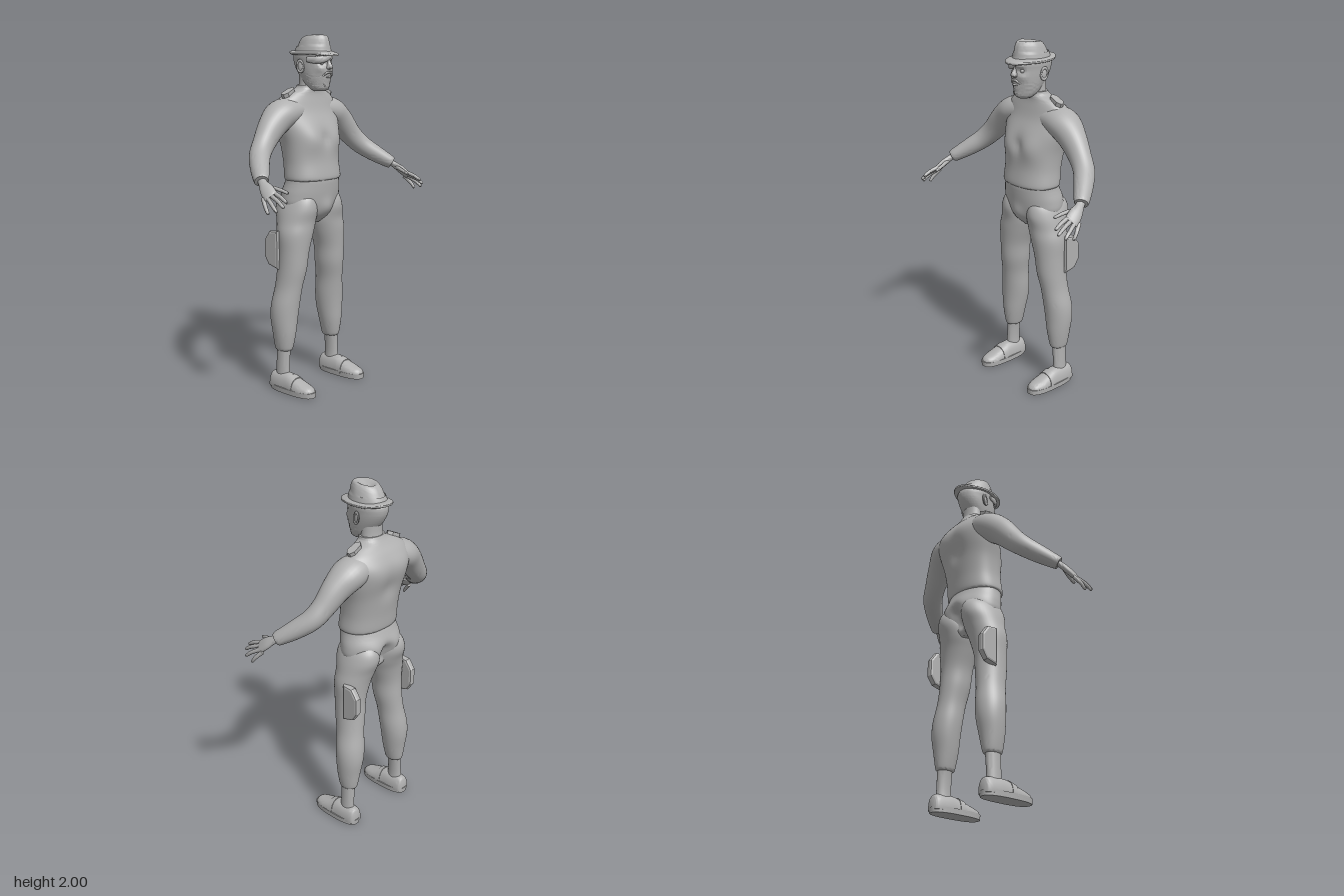
import * as THREE from 'three';
import { toCreasedNormals } from 'three/addons/utils/BufferGeometryUtils.js';

const clay = new THREE.MeshStandardMaterial({ color: 0xb0b0b0 });
clay.name = 'plain grey';

// Smooth in-between rows through a few cross-sections
function resample(rows, sub) {
  const out = [], n = rows.length;
  for (let i = 0; i < n - 1; i++) {
    const [a, b, c, d] = [rows[Math.max(i - 1, 0)], rows[i], rows[i + 1], rows[Math.min(i + 2, n - 1)]];
    for (let s = 0; s < sub; s++) {
      const t = s / sub;
      out.push(b.map((v, k) => v + 0.5 * t * (c[k] - a[k] + t * (2 * a[k] - 5 * v + 4 * c[k] - d[k] + t * (3 * (v - c[k]) + d[k] - a[k])))));
    }
  }
  out.push(rows[n - 1]);
  return out;
}

// Closed loft through rows [x, y, z, ru, rv]. With a hint the rings follow the path, otherwise they lie flat.
function loft(rows, { n = 32, sub = 5, hint = null, pow = 1, deform = null } = {}) {
  const R = resample(rows, sub), pos = [], idx = [];
  const at = (r) => new THREE.Vector3(r[0], r[1], r[2]);
  const put = (p) => { if (deform) deform(p); pos.push(p.x, p.y, p.z); };
  R.forEach((r, i) => {
    const t = new THREE.Vector3(0, 1, 0), u = new THREE.Vector3(1, 0, 0);
    if (hint) {
      t.copy(at(R[Math.min(i + 1, R.length - 1)])).sub(at(R[Math.max(i - 1, 0)])).normalize();
      u.set(...hint).addScaledVector(t, -t.dot(u.set(...hint))).normalize();
    }
    const v = new THREE.Vector3().crossVectors(t, u);
    for (let j = 0; j < n; j++) {
      const a = j / n * Math.PI * 2, c = Math.cos(a), s = Math.sin(a);
      put(at(r).addScaledVector(u, r[3] * Math.sign(c) * Math.abs(c) ** pow)
        .addScaledVector(v, r[4] * Math.sign(s) * Math.abs(s) ** pow));
    }
  });
  const last = (R.length - 1) * n, c0 = R.length * n;
  put(at(R[0])); put(at(R[R.length - 1]));
  for (let j = 0; j < n; j++) {
    const k = (j + 1) % n;
    for (let i = 0; i < last; i += n) idx.push(i + j, i + k, i + n + j, i + k, i + n + k, i + n + j);
    idx.push(c0, k, j, c0 + 1, last + j, last + k);
  }
  const g = new THREE.BufferGeometry();
  g.setAttribute('position', new THREE.Float32BufferAttribute(pos, 3));
  g.setIndex(idx);
  return toCreasedNormals(g, 0.9);
}

// Soft symmetric bulges and dents: [x, y, z, radius, dx, dy, dz]
const sculpt = (list) => (p) => {
  for (const [x, y, z, r, dx, dy, dz] of list) {
    const w = Math.exp(-((Math.abs(p.x) - x) ** 2 + (p.y - y) ** 2 + (p.z - z) ** 2) / (r * r));
    p.x += (p.x < 0 ? -dx : dx) * w; p.y += dy * w; p.z += dz * w;
  }
};

function mirrored(geo) {
  const g = geo.index ? geo.toNonIndexed() : geo.clone();
  for (const name of ['position', 'normal']) {
    const a = g.attributes[name];
    for (let i = 0; i < a.count; i += 3) {
      const q = [0, 2, 1].map((k) => [-a.getX(i + k), a.getY(i + k), a.getZ(i + k)]);
      q.forEach((v, k) => a.setXYZ(i + k, ...v));
    }
  }
  return g;
}

export function createModel() {
  const model = new THREE.Group();
  model.name = 'man in hat';
  const add = (name, geo) => {
    const m = new THREE.Mesh(geo, clay);
    m.name = name;
    model.add(m);
  };
  const pair = (name, geo) => { add(name + 'Left', geo); add(name + 'Right', mirrored(geo)); };

  // Sweater
  add('sweater', loft([
    [0, 1.2, -0.09, 0.17, 0.117], [0, 1.215, -0.09, 0.181, 0.127], [0, 1.3, -0.1, 0.177, 0.126],
    [0, 1.4, -0.112, 0.187, 0.13], [0, 1.5, -0.13, 0.212, 0.128], [0, 1.58, -0.147, 0.222, 0.112],
    [0, 1.64, -0.142, 0.205, 0.09], [0, 1.68, -0.13, 0.15, 0.07], [0, 1.705, -0.12, 0.088, 0.062],
    [0, 1.725, -0.115, 0.076, 0.056]], {
    n: 64, pow: 0.9,
    deform: sculpt([[0.09, 1.43, 0, 0.07, 0, 0, 0.018], [0, 1.43, 0.01, 0.035, 0, 0, -0.012],
      [0, 1.45, -0.26, 0.06, 0, 0, 0.015], [0.1, 1.55, -0.25, 0.08, 0, 0, -0.012]]),
  }));
  pair('sleeve', loft([
    [0.1, 1.585, -0.14, 0.09, 0.075], [0.2, 1.565, -0.14, 0.098, 0.084], [0.285, 1.505, -0.128, 0.076, 0.077],
    [0.36, 1.425, -0.112, 0.06, 0.064], [0.42, 1.365, -0.085, 0.058, 0.056], [0.48, 1.31, -0.025, 0.052, 0.049],
    [0.535, 1.262, 0.04, 0.042, 0.038], [0.546, 1.252, 0.053, 0.036, 0.033]], { hint: [0, 0, 1] }));

  // Hands
  const across = [0.042, -0.035, -0.045];
  pair('palm', loft([[0.53, 1.268, 0.03, 0.024, 0.018], [0.55, 1.243, 0.068, 0.024, 0.017],
    [0.563, 1.218, 0.105, 0.036, 0.018], [0.574, 1.19, 0.142, 0.039, 0.015],
    [0.578, 1.182, 0.155, 0.034, 0.01]], { hint: across, n: 20 }));
  const fingers = {
    thumb: [[0.55, 1.23, 0.085], [0.522, 1.218, 0.145], [0.505, 1.2, 0.205]],
    indexFinger: [[0.553, 1.207, 0.14], [0.562, 1.186, 0.207], [0.565, 1.163, 0.25]],
    middleFinger: [[0.57, 1.192, 0.14], [0.583, 1.168, 0.207], [0.588, 1.14, 0.252]],
    ringFinger: [[0.584, 1.181, 0.13], [0.604, 1.148, 0.188], [0.612, 1.118, 0.225]],
    littleFinger: [[0.593, 1.173, 0.112], [0.612, 1.135, 0.148], [0.618, 1.103, 0.172]],
  };
  for (const [name, [a, b, c]] of Object.entries(fingers)) {
    const mid = c.map((v, k) => v * 0.9 + b[k] * 0.1);
    pair(name, loft([[...a, 0.012, 0.012], [...b, 0.0105, 0.0105], [...mid, 0.008, 0.008], [...c, 0.003, 0.003]],
      { hint: across, n: 12, sub: 4 }));
  }

  // Shoulder tabs
  const tab = new THREE.Shape([[-0.05, 0], [-0.03, 0.022], [0.025, 0.025], [0.047, 0.01], [0.047, -0.01],
    [0.025, -0.025], [-0.03, -0.022]].map(([x, y]) => new THREE.Vector2(x, y)));
  pair('shoulderTab', new THREE.ExtrudeGeometry(tab, { depth: 0.025, bevelEnabled: false })
    .rotateX(-Math.PI / 2).rotateZ(-0.42).translate(0.145, 1.672, -0.132));

  // Trousers
  add('trouserSeat', loft([
    [0, 0.955, -0.11, 0.04, 0.06], [0, 1, -0.108, 0.13, 0.1], [0, 1.06, -0.108, 0.19, 0.122],
    [0, 1.12, -0.108, 0.194, 0.135], [0, 1.18, -0.095, 0.181, 0.128], [0, 1.207, -0.09, 0.177, 0.123]], {
    n: 64,
    deform: sculpt([[0, 1.04, 0.01, 0.05, 0, 0, 0.018], [0, 1.08, -0.23, 0.04, 0, 0, 0.035],
      [0, 1.02, -0.21, 0.04, 0, 0, 0.04], [0.085, 1.07, -0.23, 0.06, 0, 0, -0.015]]),
  }));
  pair('trouserLeg', loft([
    [0.2, 0.232, -0.13, 0.038, 0.048], [0.2, 0.247, -0.13, 0.046, 0.057], [0.197, 0.33, -0.13, 0.063, 0.07],
    [0.193, 0.42, -0.134, 0.076, 0.08], [0.186, 0.5, -0.13, 0.08, 0.083], [0.172, 0.6, -0.117, 0.074, 0.082],
    [0.158, 0.7, -0.105, 0.08, 0.088], [0.15, 0.8, -0.1, 0.086, 0.091], [0.134, 0.9, -0.102, 0.104, 0.102],
    [0.115, 0.97, -0.11, 0.108, 0.113], [0.106, 1.04, -0.116, 0.1, 0.132], [0.1, 1.1, -0.117, 0.082, 0.122],
    [0.09, 1.15, -0.11, 0.05, 0.08]], { n: 40 }));

  // Thigh pouches
  const pouch = new THREE.Shape([[0.145, 0.91], [0.19, 0.905], [0.222, 0.86], [0.222, 0.775], [0.195, 0.735], [0.145, 0.72]]
    .map(([x, y]) => new THREE.Vector2(x, y)));
  pair('thighPouch', new THREE.ExtrudeGeometry(pouch, { depth: 0.016, bevelSize: 0.013, bevelThickness: 0.013, bevelSegments: 2 })
    .rotateY(Math.PI / 2).translate(0.221, 0, 0));

  // Ankles and loafers
  pair('ankle', loft([[0.21, 0.04, -0.13, 0.034, 0.048], [0.21, 0.12, -0.13, 0.03, 0.044],
    [0.206, 0.2, -0.13, 0.031, 0.044], [0.2, 0.27, -0.13, 0.036, 0.046]], { n: 24 }));
  pair('sole', loft([[0.212, 0, -0.05, 0.056, 0.158], [0.212, 0.03, -0.05, 0.058, 0.16]], { n: 40, sub: 1, pow: 0.75 }));
  const flat = (p) => { p.y = Math.max(p.y, 0.015); };
  pair('shoeUpper', loft([
    [0.212, 0.02, -0.205, 0.03, 0.055], [0.212, 0.02, -0.19, 0.044, 0.08], [0.212, 0.02, -0.13, 0.051, 0.086],
    [0.212, 0.02, -0.07, 0.052, 0.085], [0.212, 0.02, -0.02, 0.055, 0.068], [0.212, 0.02, 0.04, 0.053, 0.048],
    [0.212, 0.02, 0.085, 0.038, 0.034], [0.212, 0.02, 0.103, 0.016, 0.018]], { hint: [1, 0, 0], pow: 0.85, deform: flat }));
  pair('shoeStrap', loft([[0.212, 0.02, -0.05, 0.056, 0.084], [0.212, 0.02, -0.015, 0.058, 0.071]],
    { hint: [1, 0, 0], pow: 0.85, sub: 2, deform: flat }));

  // Neck and head, with a rough beard around the jaw
  add('neck', loft([[0, 1.68, -0.118, 0.07, 0.055], [0, 1.74, -0.112, 0.064, 0.054], [0, 1.81, -0.105, 0.066, 0.062]]));
  const face = sculpt([
    [0.034, 1.846, 0.02, 0.02, 0, 0, -0.016], [0.032, 1.872, 0.025, 0.018, 0, 0, 0.008],
    [0.045, 1.815, 0.01, 0.025, 0.004, 0, 0.007], [0, 1.76, 0.025, 0.025, 0, 0, 0.008],
    [0, 1.715, 0.015, 0.03, 0, 0, 0.01], [0, 1.778, 0.03, 0.009, 0, 0, -0.008]]);
  add('head', loft([
    [0, 1.692, -0.035, 0.03, 0.03], [0, 1.705, -0.04, 0.05, 0.05], [0, 1.73, -0.055, 0.065, 0.073],
    [0, 1.77, -0.066, 0.076, 0.093], [0, 1.81, -0.078, 0.083, 0.109], [0, 1.85, -0.086, 0.087, 0.119],
    [0, 1.89, -0.086, 0.089, 0.119], [0, 1.93, -0.08, 0.07, 0.09]], {
    n: 80, sub: 7,
    deform: (p) => {
      face(p);
      if (p.y < 1.785 && p.z > -0.07) {
        const k = 1 + 0.022 * Math.sin(p.x * 410 + p.y * 190) * Math.sin(p.y * 520 + p.z * 230);
        p.x *= k; p.z = -0.06 + (p.z + 0.06) * k;
      }
    },
  }));
  add('nose', loft([[0, 1.81, 0.027, 0.009, 0.012], [0, 1.819, 0.033, 0.017, 0.022], [0, 1.83, 0.034, 0.014, 0.023],
    [0, 1.85, 0.03, 0.009, 0.014], [0, 1.872, 0.024, 0.007, 0.01]], { n: 20 }));
  add('moustache', loft([[-0.036, 1.775, 0.02, 0.004, 0.004], [-0.016, 1.793, 0.034, 0.007, 0.008],
    [0, 1.796, 0.037, 0.006, 0.007], [0.016, 1.793, 0.034, 0.007, 0.008], [0.036, 1.775, 0.02, 0.004, 0.004]],
    { hint: [0, 1, 0], n: 12 }));
  add('lowerLip', new THREE.SphereGeometry(1, 16, 10).scale(0.02, 0.006, 0.008).translate(0, 1.769, 0.032));
  pair('eye', new THREE.SphereGeometry(0.012, 16, 12).translate(0.034, 1.846, 0.008));
  pair('ear', new THREE.SphereGeometry(1, 16, 12).scale(0.009, 0.034, 0.02).rotateY(-0.3).rotateX(-0.15)
    .translate(0.09, 1.826, -0.092));
  pair('earRim', new THREE.TorusGeometry(0.019, 0.005, 8, 24).scale(1, 1.6, 1).rotateY(Math.PI / 2 - 0.3).rotateX(-0.15)
    .translate(0.096, 1.828, -0.093));
  add('fringe', loft([[-0.09, 1.865, -0.05, 0.014, 0.006], [-0.07, 1.862, 0.003, 0.02, 0.01],
    [-0.03, 1.868, 0.03, 0.018, 0.01], [0.015, 1.882, 0.036, 0.008, 0.005]], { hint: [0, 1, 0], n: 14 }));

  // Hat with a dented crown
  add('hatCrown', loft([
    [0, 1.89, -0.082, 0.09, 0.118], [0, 1.915, -0.084, 0.085, 0.112], [0, 1.95, -0.078, 0.077, 0.101],
    [0, 1.98, -0.073, 0.067, 0.088], [0, 1.997, -0.07, 0.053, 0.07], [0, 1.99, -0.074, 0.034, 0.05],
    [0, 1.975, -0.08, 0.012, 0.026]], {
    n: 48,
    deform: (p) => { if (p.y > 1.94) { p.y -= Math.max(0, -0.06 - p.z) * 0.14; p.x *= 1 - Math.max(0, p.z + 0.06) * 2; } },
  }));
  add('hatBrim', loft([
    [0, 1.89, -0.08, 0.084, 0.112], [0, 1.888, -0.078, 0.1, 0.15], [0, 1.896, -0.078, 0.105, 0.156],
    [0, 1.903, -0.078, 0.1, 0.15], [0, 1.911, -0.08, 0.083, 0.112]], {
    n: 48, deform: (p) => { p.y += Math.max(0, -0.16 - p.z) * 0.15 - Math.max(0, p.z) * 0.08; },
  }));
  return model;
}
